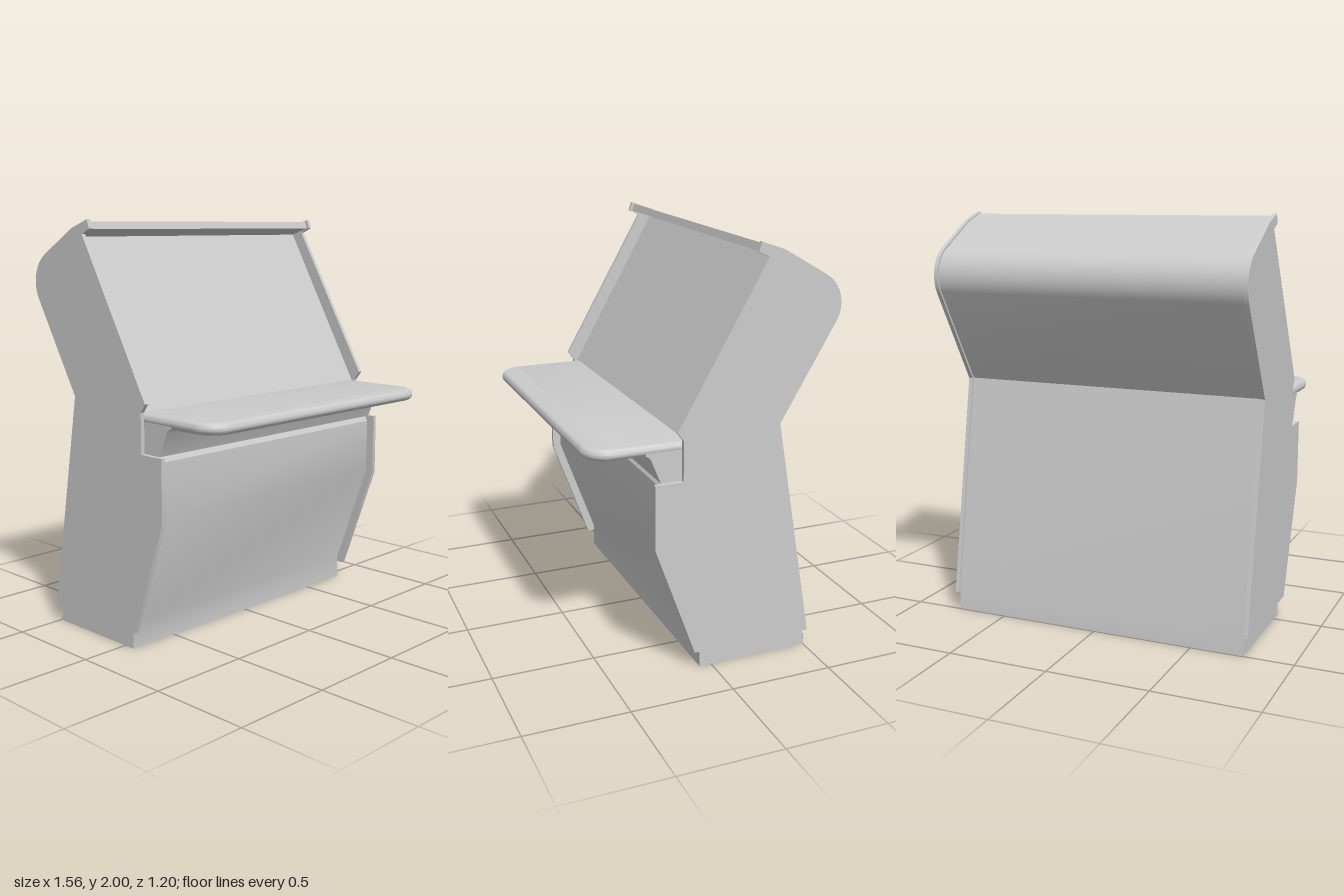
import * as THREE from 'three';
import { toCreasedNormals } from 'three/addons/utils/BufferGeometryUtils.js';

const grey = new THREE.MeshStandardMaterial({ color: 0xcccccc });
const greyDouble = new THREE.MeshStandardMaterial({ color: 0xcccccc, side: THREE.DoubleSide });
const INNER = 0.76, OUTER = 0.78;

// Rounded upper back corner as [z, y] points, from the top round to the rear
function backCurve(radius) {
  const points = [];
  for (let i = 0; i <= 12; i++) {
    const a = THREE.MathUtils.degToRad(120.5 + i * 7.5);
    points.push([-0.445 + radius * Math.cos(a), 1.7 + radius * Math.sin(a)]);
  }
  return points;
}

// Extrude a [z, y] profile across x, from x0 to x1
function extrudeAcross(profile, x0, x1) {
  const shape = new THREE.Shape(profile.map(([z, y]) => new THREE.Vector2(z, y)));
  const geo = new THREE.ExtrudeGeometry(shape, { depth: x1 - x0, bevelEnabled: false });
  geo.rotateY(-Math.PI / 2).translate(x1, 0, 0);
  return toCreasedNormals(geo, 0.4);
}

// Open sheet following a [z, y] profile between x = -half and x = half
function sheetAcross(profile, half) {
  const positions = [], index = [];
  profile.forEach(([z, y], i) => {
    positions.push(-half, y, z, half, y, z);
    if (i < profile.length - 1) {
      const a = i * 2;
      index.push(a, a + 1, a + 3, a, a + 3, a + 2);
    }
  });
  const geo = new THREE.BufferGeometry();
  geo.setAttribute('position', new THREE.Float32BufferAttribute(positions, 3));
  geo.setIndex(index);
  return toCreasedNormals(geo, 0.4);
}

export function createModel() {
  const group = new THREE.Group();
  const add = (name, geo, material = grey) => {
    const mesh = new THREE.Mesh(geo, material);
    mesh.name = name;
    group.add(mesh);
    return mesh;
  };

  // Side panels, notched for the shelf
  const panel = [
    [-0.195, 2], [-0.31, 1.96], ...backCurve(0.157),
    [-0.315, 1.17], [-0.505, 0.09], [0.095, 0.09], [0.295, 0.645],
    [0.295, 0.955], [0.16, 0.955], [0.16, 1.146], [0.19, 1.187],
    [-0.234, 1.932], [-0.18, 1.957],
  ];
  add('leftSidePanel', extrudeAcross(panel, INNER, OUTER));
  add('rightSidePanel', extrudeAcross(panel, -OUTER, -INNER));

  // Hollow casing: plinth front, sloped front, ledge, screen face, top lip and back
  const casing = [
    [0.06, 0], [0.06, 0.12], [0.252, 0.65], [0.252, 0.925], [0.235, 0.953],
    [0.145, 0.953], [0.14, 1.14], [-0.297, 1.92], [-0.195, 1.955],
    [-0.207, 1.99], [-0.315, 1.948], ...backCurve(0.147),
    [-0.302, 1.17], [-0.49, 0.09], [-0.497, 0],
  ];
  add('casing', sheetAcross(casing, INNER), greyDouble);

  // Plinth ends
  const plinthEnd = new THREE.Shape([[0.06, 0], [0.06, 0.12], [-0.486, 0.12], [-0.497, 0]]
    .map(([z, y]) => new THREE.Vector2(z, y)));
  for (const side of [1, -1]) {
    const geo = new THREE.ShapeGeometry(plinthEnd);
    geo.rotateY(-Math.PI / 2).translate(side * (INNER - 0.001), 0, 0);
    add(side > 0 ? 'leftPlinthEnd' : 'rightPlinthEnd', geo, greyDouble);
  }

  // Shelf with rounded front corners and a rounded edge
  const r = 0.12, back = -0.1, front = -0.6, edge = 0.0275;
  const top = new THREE.Shape();
  top.moveTo(-INNER, back);
  top.lineTo(-INNER, front + r);
  top.absarc(-INNER + r, front + r, r, Math.PI, Math.PI * 1.5, false);
  top.absarc(INNER - r, front + r, r, Math.PI * 1.5, Math.PI * 2, false);
  top.lineTo(INNER, back);
  const shelf = new THREE.ExtrudeGeometry(top, {
    depth: 0.001, bevelThickness: edge, bevelSize: edge, bevelOffset: -edge,
    bevelSegments: 6, curveSegments: 10,
  });
  shelf.rotateX(-Math.PI / 2).translate(0, 1.085 + edge, 0);
  add('shelf', toCreasedNormals(shelf, 0.6));

  // Shelf support, sloping back under the shelf
  const support = [
    [0.145, 0.955], [0.26, 0.955], [0.306, 1.068], [0.314, 1.08], [0.33, 1.09],
    [0.33, 1.11], [0.145, 1.11],
  ];
  add('shelfSupport', extrudeAcross(support, -INNER + 0.002, INNER - 0.002));

  return group;
}
